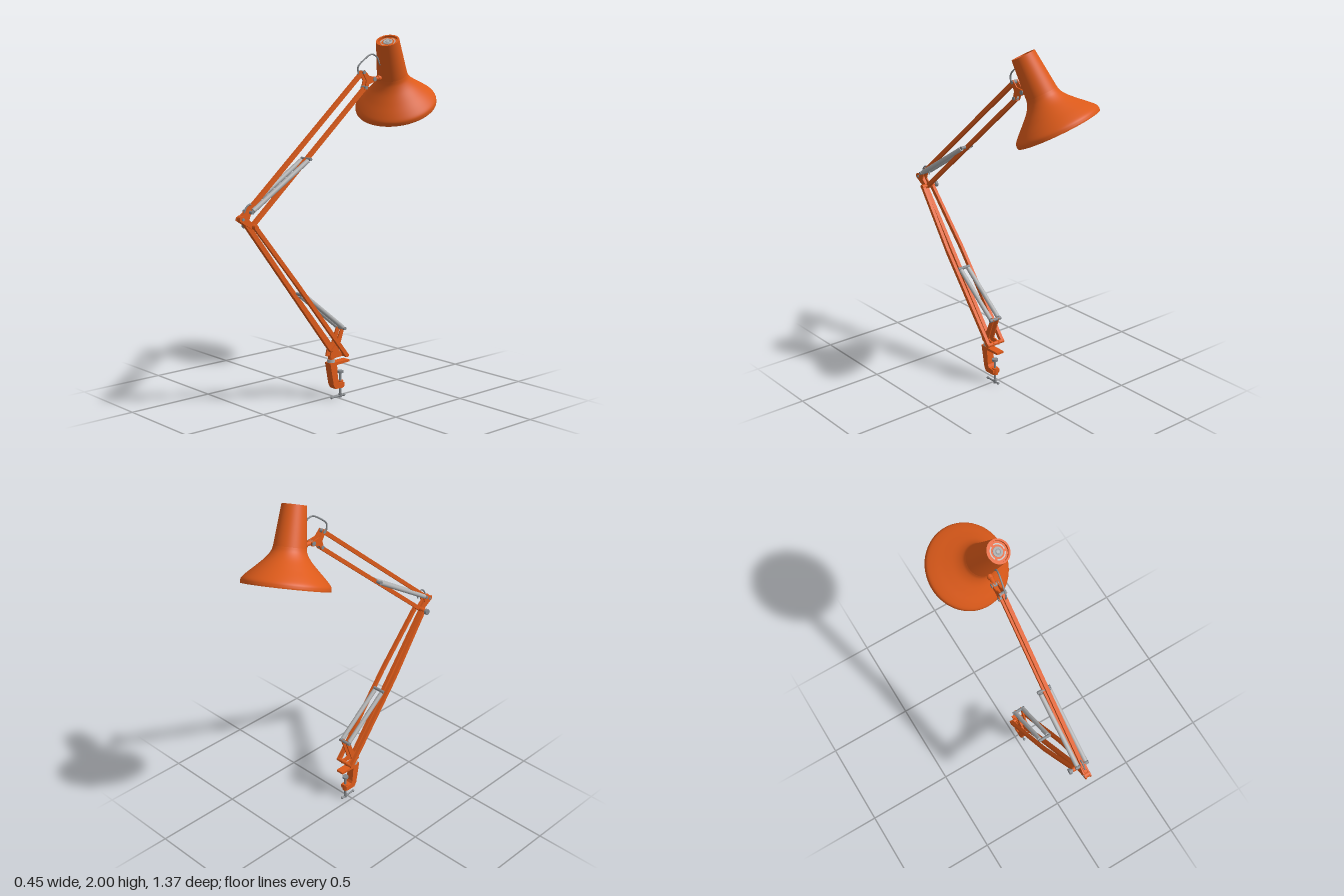
import * as THREE from 'three';

const orange = new THREE.MeshStandardMaterial({ color: 0xdc5a1a });
orange.name = 'orange enamel';
const steel = new THREE.MeshStandardMaterial({ color: 0xb0b1b2 });
steel.name = 'spring steel';
const hardware = new THREE.MeshStandardMaterial({ color: 0x84888c });
hardware.name = 'hardware grey';
const liner = new THREE.MeshStandardMaterial({ color: 0xb6b6b6 });
liner.name = 'pale grey liner';

const X = 0.038; // plane of the arm
const V = (x, y, z) => new THREE.Vector3(x, y, z);

function add(parent, name, geo, mat) {
  const m = new THREE.Mesh(geo, mat);
  m.name = name;
  parent.add(m);
  return m;
}

// square bar between two points
function bar(parent, name, a, b, w, h) {
  const m = add(parent, name, new THREE.BoxGeometry(w, h, a.distanceTo(b)), orange);
  m.position.copy(a).lerp(b, 0.5);
  m.lookAt(b);
}

// round rod between two points
function rod(parent, name, a, b, r, mat = hardware) {
  const m = add(parent, name, new THREE.CylinderGeometry(r, r, a.distanceTo(b), 20), mat);
  m.position.copy(a).lerp(b, 0.5);
  m.quaternion.setFromUnitVectors(V(0, 1, 0), b.clone().sub(a).normalize());
}

// pin running across the arm at a given height and depth
function pin(parent, name, y, z, half, r, mat = hardware) {
  rod(parent, name, V(X - half, y, z), V(X + half, y, z), r, mat);
}

// flat plate outlined by [z, y] points, centred on x
function plate(parent, name, pts, t, x = X) {
  const s = new THREE.Shape(pts.map(p => new THREE.Vector2(p[0], p[1])));
  const g = new THREE.ExtrudeGeometry(s, { depth: t, bevelEnabled: false });
  g.translate(0, 0, -t / 2).rotateY(-Math.PI / 2);
  add(parent, name, g, orange).position.x = x;
}

function cable(parent, name, pts) {
  const c = new THREE.CatmullRomCurve3(pts.map(p => V(...p)));
  add(parent, name, new THREE.TubeGeometry(c, 32, 0.0045, 8), hardware);
}

// pair of tension springs with small end hooks
function springs(parent, name, a, b) {
  const g = new THREE.Group();
  g.name = name;
  parent.add(g);
  for (const s of [-1, 1]) {
    const p = a.clone().setX(X + s * 0.026), q = b.clone().setX(X + s * 0.026);
    rod(g, 'springCoil', p.clone().lerp(q, 0.03), p.clone().lerp(q, 0.97), 0.0128, steel);
    rod(g, 'springHook', p, q, 0.005);
  }
  pin(g, 'springPin', a.y, a.z, 0.039, 0.009);
  pin(g, 'springPin', b.y, b.z, 0.039, 0.009);
}

function buildClamp(root) {
  const g = new THREE.Group();
  g.name = 'deskClamp';
  root.add(g);
  plate(g, 'clampBody', [[0.075, 0.215], [0.05, 0.085], [0.035, 0.062], [-0.025, 0.062],
    [-0.03, 0.072], [-0.03, 0.09], [0.01, 0.095], [0.018, 0.11], [0.026, 0.198],
    [-0.065, 0.202], [-0.065, 0.214]], 0.046);
  rod(g, 'clampScrew', V(X, 0.01, -0.018), V(X, 0.145, -0.018), 0.007);
  rod(g, 'screwBoss', V(X, 0.058, -0.018), V(X, 0.098, -0.018), 0.017, orange);
  rod(g, 'clampPad', V(X, 0.142, -0.018), V(X, 0.154, -0.018), 0.018);
  rod(g, 'clampHandle', V(X, 0.009, -0.046), V(X, 0.009, 0.046), 0.005);
  for (const z of [-0.046, 0.046]) {
    add(g, 'handleEnd', new THREE.SphereGeometry(0.008, 12, 8), hardware).position.set(X, 0.009, z);
  }
  rod(g, 'screwHub', V(X, 0, -0.018), V(X, 0.024, -0.018), 0.009);
  rod(g, 'swivelCollar', V(X, 0.212, 0.05), V(X, 0.232, 0.05), 0.023, steel);
  rod(g, 'swivelPost', V(X, 0.232, 0.05), V(X, 0.255, 0.05), 0.018, orange);
}

function buildLowerArm(root) {
  const g = new THREE.Group();
  g.name = 'lowerArm';
  root.add(g);
  // base bracket cheeks reaching up to the spring anchor
  for (const s of [-1, 1]) {
    plate(g, 'baseCheek', [[0.074, 0.25], [0.066, 0.285], [0.03, 0.32], [-0.008, 0.41], [-0.03, 0.404],
      [0.006, 0.3], [0.015, 0.272], [-0.03, 0.262], [-0.03, 0.243], [0.05, 0.24]], 0.008, X + s * 0.018);
  }
  pin(g, 'baseCrossbar', 0.253, -0.02, 0.058, 0.011, orange);
  pin(g, 'basePin', 0.28, 0.05, 0.024, 0.008, orange);
  // centre bar, and side bars bent in toward the elbow
  bar(g, 'centreBar', V(X, 0.28, 0.05), V(X, 1.075, 0.655), 0.022, 0.022);
  for (const s of [-1, 1]) {
    const a = V(X + s * 0.049, 0.25, -0.02), m = V(X + s * 0.049, 0.71, 0.343), b = V(X + s * 0.031, 1.03, 0.594);
    bar(g, 'sideBar', a, m, 0.019, 0.022);
    bar(g, 'sideBar', m, b, 0.019, 0.022);
  }
  springs(g, 'lowerSprings', V(X, 0.4, -0.02), V(X, 0.625, 0.262));
}

function buildElbow(root) {
  const g = new THREE.Group();
  g.name = 'elbow';
  root.add(g);
  for (const s of [-1, 1]) {
    plate(g, 'elbowCheek', [[0.684, 1.07], [0.682, 1.088], [0.66, 1.094], [0.622, 1.12], [0.608, 1.11],
      [0.622, 1.07], [0.582, 1.035], [0.59, 1.018], [0.605, 1.02], [0.668, 1.06]], 0.007, X + s * 0.014);
  }
  pin(g, 'elbowPivot', 1.077, 0.662, 0.018, 0.018, orange);
  pin(g, 'elbowPivotPin', 1.077, 0.662, 0.021, 0.008);
  pin(g, 'elbowCrossbar', 1.032, 0.594, 0.042, 0.013, orange);
  // tightening knob on the right side
  rod(g, 'knobShaft', V(-0.02, 1.032, 0.594), V(X, 1.032, 0.594), 0.008);
  rod(g, 'knob', V(-0.027, 1.032, 0.594), V(-0.012, 1.032, 0.594), 0.017);
  cable(g, 'elbowCable', [[X, 1.08, 0.645], [X, 1.125, 0.634], [X, 1.148, 0.61],
    [X, 1.135, 0.585], [X, 1.105, 0.575]]);
}

function buildUpperArm(root) {
  const g = new THREE.Group();
  g.name = 'upperArm';
  root.add(g);
  bar(g, 'upperBar', V(X, 1.077, 0.66), V(X, 1.8, -0.177), 0.02, 0.022);
  bar(g, 'underBar', V(X, 1.032, 0.594), V(X, 1.715, -0.195), 0.02, 0.022);
  springs(g, 'upperSprings', V(X, 1.11, 0.615), V(X, 1.355, 0.225));
  // head bracket
  for (const s of [-1, 1]) {
    plate(g, 'headCheek', [[-0.165, 1.803], [-0.182, 1.812], [-0.215, 1.78], [-0.268, 1.772],
      [-0.268, 1.75], [-0.215, 1.735], [-0.2, 1.704], [-0.182, 1.708], [-0.195, 1.755]], 0.006, X + s * 0.014);
  }
  pin(g, 'headPin', 1.8, -0.178, 0.02, 0.01);
  pin(g, 'headPin', 1.717, -0.193, 0.02, 0.01);
  pin(g, 'headHinge', 1.761, -0.255, 0.021, 0.012);
  rod(g, 'headStem', V(X, 1.761, -0.25), V(0.04, 1.768, -0.36), 0.012, orange);
  rod(g, 'stemCollar', V(X, 1.763, -0.292), V(X, 1.765, -0.306), 0.016, orange);
  cable(g, 'headCable', [[X, 1.785, -0.15], [X, 1.83, -0.147], [0.044, 1.868, -0.185], [0.052, 1.897, -0.235],
    [0.058, 1.88, -0.27], [0.06, 1.84, -0.29], [0.062, 1.825, -0.315]]);
}

function buildShade(root) {
  const g = new THREE.Group();
  g.name = 'lampShade';
  g.position.set(-0.002, 1.606, -0.476);
  g.quaternion.setFromUnitVectors(V(0, 1, 0), V(0.238, 0.886, 0.398).normalize());
  root.add(g);
  const lathe = (name, pts, mat) => add(g, name,
    new THREE.LatheGeometry(pts.map(p => new THREE.Vector2(p[0], p[1])), 64), mat);
  const smooth = pts => new THREE.SplineCurve(pts.map(p => new THREE.Vector2(p[0], p[1])))
    .getPoints(40).map(v => [v.x, v.y]);

  // flared bell and tapered neck
  const bell = [[0.2285, 0], [0.2295, 0.01], [0.225, 0.028], [0.2, 0.056], [0.156, 0.098],
    [0.115, 0.14], [0.092, 0.174], [0.0845, 0.2]];
  lathe('bell', smooth(bell), orange);
  lathe('neck', [[0.0845, 0.2], [0.064, 0.413]], orange);
  lathe('rim', [[0.2205, 0], [0.2285, 0]], orange);
  lathe('bellLining', smooth(bell.map(([r, y]) => [r - 0.008, y])).reverse(), liner);
  lathe('neckLining', [[0, 0.2], [0.0765, 0.2]], liner);
  // vented cap recessed in the top
  lathe('capEdge', [[0.064, 0.413], [0.054, 0.413]], orange);
  lathe('capWall', [[0.054, 0.413], [0.054, 0.402]], orange);
  lathe('capFloor', [[0.054, 0.402], [0, 0.402]], orange);
  // pale slots showing between the cap rings
  for (let i = 0; i < 3; i++) {
    const slot = new THREE.RingGeometry(0.036, 0.043, 16, 1, i * Math.PI * 2 / 3, 1.75);
    add(g, 'ventSlot', slot.rotateX(-Math.PI / 2), liner).position.y = 0.404;
  }
  lathe('socketRing', [[0.026, 0.402], [0.026, 0.408], [0.016, 0.408], [0.016, 0.402]], steel);
  lathe('socketFloor', [[0.016, 0.404], [0, 0.404]], hardware);
  lathe('socketStud', [[0.01, 0.404], [0.01, 0.409], [0, 0.409]], steel);
  // bulb
  add(g, 'bulb', new THREE.SphereGeometry(0.064, 32, 20), liner).position.y = 0.11;
  lathe('bulbNeck', [[0.05, 0.14], [0.032, 0.175], [0.03, 0.2]], liner);
}

export function createModel() {
  const root = new THREE.Group();
  root.name = 'deskLamp';
  buildClamp(root);
  buildLowerArm(root);
  buildElbow(root);
  buildUpperArm(root);
  buildShade(root);
  return root;
}
